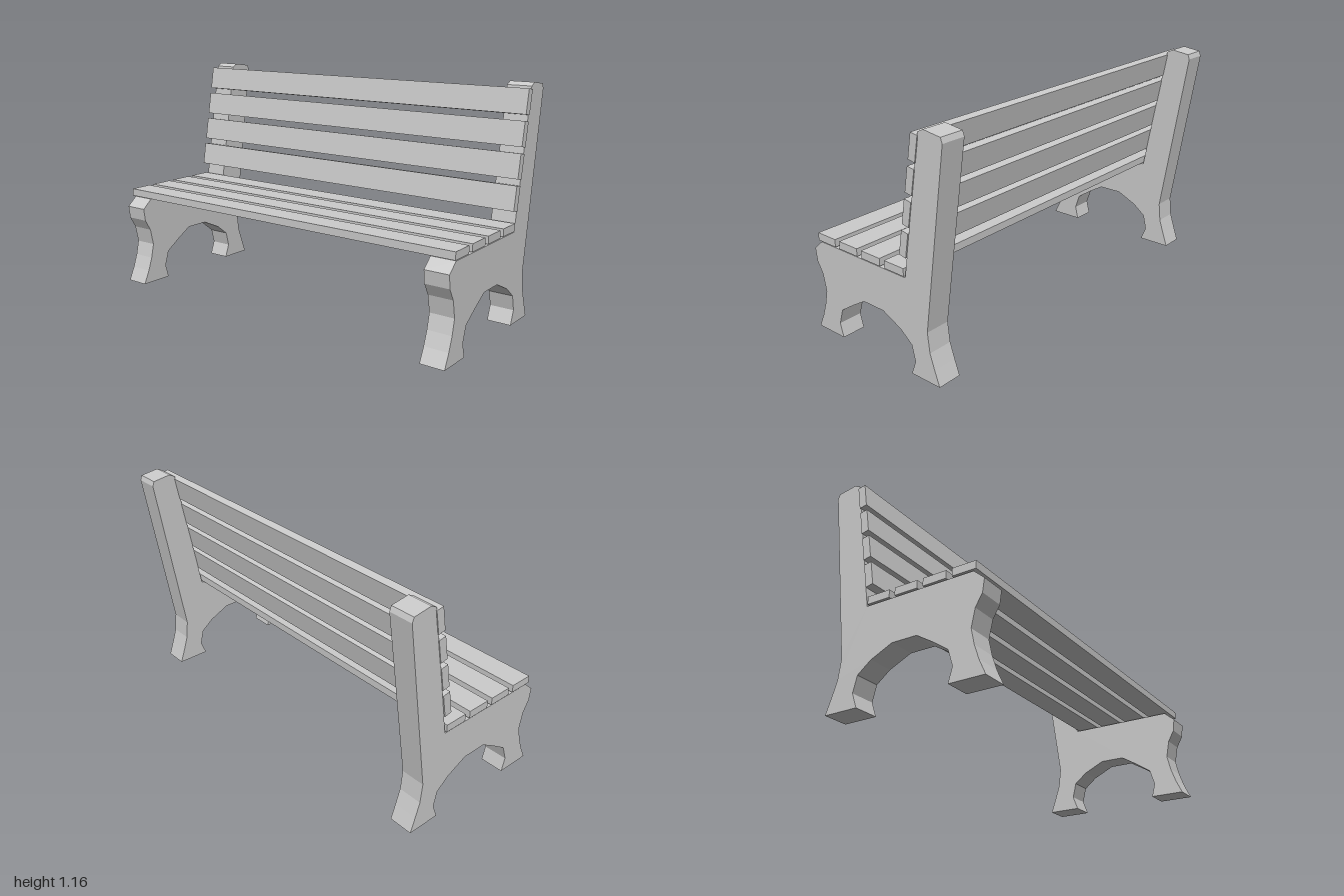
import * as THREE from 'three';

// Side silhouette of one end support: feet, arch, back post, seat rail
const PROFILE = [
  [-0.445, 0], [-0.268, 0], [-0.287, 0.07], [-0.262, 0.148], [-0.18, 0.203], [-0.097, 0.253],
  [0.032, 0.253], [0.142, 0.202], [0.21, 0.148], [0.229, 0.07], [0.202, 0],
  [0.375, 0], [0.348, 0.075], [0.323, 0.15], [0.312, 0.248],
  [0.441, 1.12], [0.432, 1.145], [0.336, 1.158], [0.305, 1.142],
  [0.19, 0.468], [-0.375, 0.468], [-0.429, 0.421], [-0.421, 0.356],
  [-0.388, 0.298], [-0.371, 0.212], [-0.388, 0.138], [-0.412, 0.07],
];

export function createModel() {
  const bench = new THREE.Group();
  bench.name = 'bench';
  const material = new THREE.MeshStandardMaterial({ color: 0xcccccc, flatShading: true });

  const add = (name, geometry, x, y, z, tilt = 0) => {
    const mesh = new THREE.Mesh(geometry, material);
    mesh.name = name;
    mesh.position.set(x, y, z);
    mesh.rotation.z = tilt;
    bench.add(mesh);
  };

  // End supports
  const thickness = 0.123;
  const shape = new THREE.Shape(PROFILE.map(([x, y]) => new THREE.Vector2(x, y)));
  const support = new THREE.ExtrudeGeometry(shape, { depth: thickness, bevelEnabled: false });
  support.translate(0, 0, -thickness / 2);
  add('leftSupport', support, 0, 0, -0.934);
  add('rightSupport', support, 0, 0, 0.934);

  // Slats: four flat on the seat, four leaning on the back posts
  const seatSlat = new THREE.BoxGeometry(0.121, 0.038, 2);
  const backSlat = new THREE.BoxGeometry(0.04, 0.12, 2);
  for (let i = 0; i < 4; i++) {
    add(`seatSlat${i + 1}`, seatSlat, -0.329 + i * 0.151, 0.493, 0);
    add(`backSlat${i + 1}`, backSlat, 0.195 + i * 0.0275, 0.628 + i * 0.148, 0, -0.176);
  }
  return bench;
}
